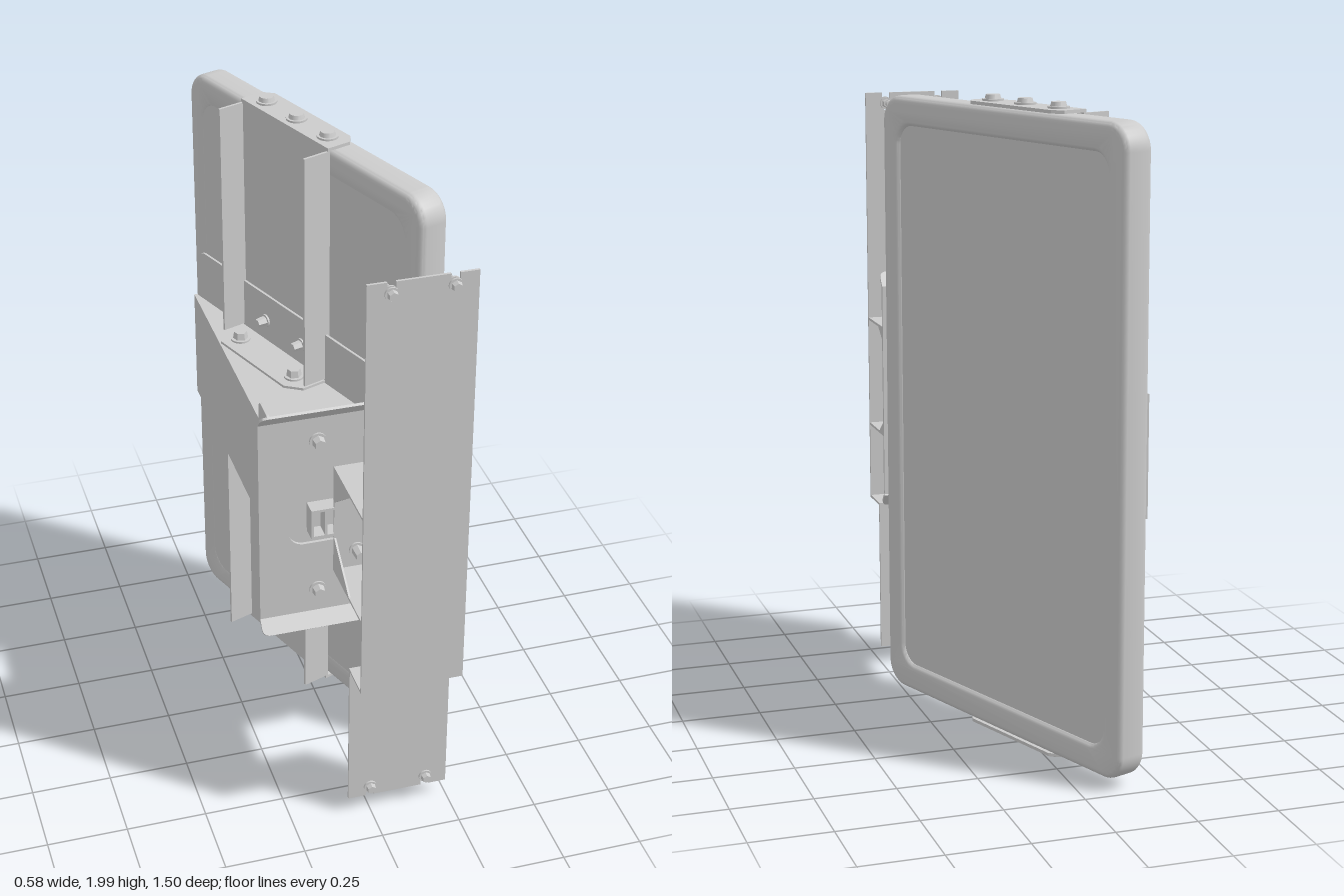
import * as THREE from 'three';
import { toCreasedNormals } from 'three/addons/utils/BufferGeometryUtils.js';

const mat = new THREE.MeshStandardMaterial({ color: 0xcccccc, side: THREE.DoubleSide });

function add(parent, name, geo, x = 0, y = 0, z = 0) {
  const m = new THREE.Mesh(geo, mat);
  m.name = name;
  m.position.set(x, y, z);
  parent.add(m);
  return m;
}

// Box given by its limits on each axis
function slab(parent, name, x0, x1, y0, y1, z0, z1) {
  return add(parent, name, new THREE.BoxGeometry(x1 - x0, y1 - y0, z1 - z0),
    (x0 + x1) / 2, (y0 + y1) / 2, (z0 + z1) / 2);
}

function roundRect(x0, x1, y0, y1, r, Type = THREE.Shape) {
  const s = new Type();
  s.absarc(x1 - r, y1 - r, r, 0, Math.PI / 2);
  s.absarc(x0 + r, y1 - r, r, Math.PI / 2, Math.PI);
  s.absarc(x0 + r, y0 + r, r, Math.PI, Math.PI * 1.5);
  s.absarc(x1 - r, y0 + r, r, Math.PI * 1.5, Math.PI * 2);
  s.closePath();
  return s;
}

const polygon = (pts) => new THREE.Shape(pts.map(([a, b]) => new THREE.Vector2(a, b)));

const extrude = (shape, depth, opts = {}) => toCreasedNormals(
  new THREE.ExtrudeGeometry(shape, { depth, bevelEnabled: false, curveSegments: 8, ...opts }), 0.6);

// Horizontal plate: outline in (x, z), bottom at y
function floorPlate(parent, name, pts, y, t) {
  return add(parent, name, extrude(polygon(pts.map(([x, z]) => [x, -z])), t).rotateX(-Math.PI / 2), 0, y, 0);
}

// Upright plate facing x: outline in (z, y), near side at x
function sidePlate(parent, name, shape, x, t, opts) {
  return add(parent, name, extrude(shape, t, opts).rotateY(-Math.PI / 2), x + t, 0, 0);
}

// Washer, head and shank; dir points from the surface out through the head
function bolt(parent, name, pos, dir, { r = 0.022, h = 0.018, tail = 0.04, sides = 6 } = {}) {
  const g = new THREE.Group();
  g.name = name;
  add(g, 'washer', new THREE.CylinderGeometry(r * 1.3, r * 1.3, 0.006, 20), 0, 0.003, 0);
  add(g, 'head', toCreasedNormals(new THREE.CylinderGeometry(r * 0.85, r, h, sides), 0.6), 0, 0.006 + h / 2, 0);
  add(g, 'shank', new THREE.CylinderGeometry(r * 0.45, r * 0.45, tail, 12), 0, -tail / 2, 0);
  g.position.set(...pos);
  g.quaternion.setFromUnitVectors(new THREE.Vector3(0, 1, 0), new THREE.Vector3(...dir));
  parent.add(g);
}

// Turned panel with its rear channels; local x is its outward side, z runs along it
function buildPanel() {
  const g = new THREE.Group();
  g.name = 'panelAssembly';
  g.position.set(0.05, 0, -0.19);
  g.rotation.y = THREE.MathUtils.degToRad(20);

  const b = 0.022;
  const frame = roundRect(-0.585 + b, 0.585 - b, 0.04 + b, 1.97 - b, 0.06);
  frame.holes.push(roundRect(-0.52, 0.52, 0.11, 1.9, 0.08, THREE.Path));
  sidePlate(g, 'panelFrame', frame, -0.05 + b, 0.1 - 2 * b,
    { bevelEnabled: true, bevelSize: b, bevelThickness: b, bevelSegments: 5 });
  sidePlate(g, 'panelFace', roundRect(-0.54, 0.54, 0.09, 1.92, 0.08), -0.048, 0.086);

  // Upright mounting plate between the arm and the panel
  sidePlate(g, 'armBackPlate', roundRect(-0.54, 0.58, 0.65, 1.36, 0.05), -0.068, 0.008);

  // Upper and lower channels, mirrored about the arm
  const u0 = -0.28, u1 = 0.16;
  for (const s of [1, -1]) {
    const Y = (d) => 1.005 + s * d;
    const span = (a, c) => [Math.min(Y(a), Y(c)), Math.max(Y(a), Y(c))];
    const side = s > 0 ? 'upper' : 'lower';
    const c = new THREE.Group();
    c.name = side + 'Channel';
    g.add(c);
    slab(c, 'channelWeb', -0.06, -0.052, ...span(0.19, 0.975), u0, u1);
    for (const u of [u0, u1 - 0.008])
      slab(c, 'channelFlange', -0.145, -0.055, ...span(0.2, 0.965), u, u + 0.008);
    floorPlate(c, 'armTab', [[-0.055, u0], [-0.15, u0], [-0.19, u0 + 0.05], [-0.19, u1 - 0.05],
      [-0.15, u1], [-0.055, u1]], span(0.187, 0.195)[0], 0.008);
    floorPlate(c, 'panelTab', [[-0.06, u0], [0.02, u0], [0.045, u0 + 0.03], [0.045, u1 - 0.03],
      [0.02, u1], [-0.06, u1]], span(0.966, 0.976)[0], 0.01);
    for (const u of [-0.214, -0.06, 0.094])
      bolt(c, 'panelBolt', [-0.012, Y(0.976), u], [0, s, 0], { r: 0.025, h: 0.013, sides: 16 });
    for (const u of [-0.203, 0.085])
      bolt(c, 'armBolt', [-0.132, Y(0.195), u], [0, s, 0], { r: 0.024, h: 0.022 });
    for (const u of [-0.152, 0.037])
      bolt(c, 'webBolt', [-0.068, Y(0.265), u], [-1, 0, 0], { r: 0.016, h: 0.03, tail: 0.02 });
  }
  return g;
}

// Wedge-shaped arm and the angled plate at its front end
function buildArm() {
  const g = new THREE.Group();
  g.name = 'arm';
  const wedge = [[-0.21, -0.68], [-0.185, -0.68], [0.19, 0.385], [-0.21, 0.39]];
  floorPlate(g, 'armTop', wedge, 1.182, 0.008);
  floorPlate(g, 'armBottom', wedge, 0.82, 0.008);
  slab(g, 'armSide', -0.21, -0.202, 0.82, 1.19, -0.68, 0.39);
  slab(g, 'armEndPlate', -0.25, 0.2, 0.65, 1.36, 0.388, 0.398);
  sidePlate(g, 'armEndFlange', roundRect(0.29, 0.398, 0.65, 1.36, 0.025), -0.254, 0.008);
  for (const x of [-0.11, 0.115]) for (const y of [0.74, 1.27]) {
    bolt(g, 'plateBolt', [x, y, 0.388], [0, 0, -1], { r: 0.025, h: 0.022 });
    bolt(g, 'plateNut', [x, y, 0.412], [0, 0, 1], { r: 0.02, h: 0.025, tail: 0.02 });
  }
  return g;
}

// Flat plate with flared top and bottom lips and a cable opening
function buildWallPlate() {
  const g = new THREE.Group();
  g.name = 'wallPlate';
  const plate = polygon([[-0.29, 0.66], [0.285, 0.66], [0.285, 1.35], [-0.29, 1.35]]);
  plate.holes.push(roundRect(-0.2, 0.0, 0.91, 1.1, 0.05, THREE.Path));
  add(g, 'plate', extrude(plate, 0.01), 0, 0, 0.402);
  for (const s of [1, -1]) {
    const lip = new THREE.Shape();
    lip.moveTo(-0.29, 0);
    lip.lineTo(0.285, 0);
    lip.lineTo(0.285, 0.03);
    lip.quadraticCurveTo(0.285, 0.055, 0.26, 0.055);
    lip.lineTo(-0.265, 0.055);
    lip.quadraticCurveTo(-0.29, 0.055, -0.29, 0.03);
    const m = add(g, 'flaredLip', extrude(lip, 0.008), 0, 1.005 + s * 0.345, 0.403);
    m.rotation.x = s > 0 ? 0.7 : Math.PI - 0.7;
    if (s < 0) m.position.z = 0.411;
  }
  // Small open frame in the cable opening
  for (const x of [-0.14, -0.098]) slab(g, 'cableGuideSide', x, x + 0.008, 0.95, 1.05, 0.4, 0.45);
  for (const y of [0.95, 1.042]) slab(g, 'cableGuideEnd', -0.14, -0.06, y, y + 0.008, 0.4, 0.45);
  return g;
}

// Stepped front strip with slotted ends, joined to the wall plate by a channel bracket
function buildFrontBracket() {
  const g = new THREE.Group();
  g.name = 'frontBracket';
  const x0 = -0.07, x1 = 0.248, slots = [0, 0.18], w = 0.013;
  const strip = (yIn, yEnd) => {
    const d = Math.sign(yIn - yEnd), pts = [[x0, yIn], [x0, yEnd]];
    for (const x of slots)
      pts.push([x - w, yEnd], [x - w, yEnd + d * 0.05], [x, yEnd + d * 0.06], [x + w, yEnd + d * 0.05], [x + w, yEnd]);
    pts.push([x1, yEnd], [x1, yIn]);
    return extrude(polygon(pts), 0.008);
  };
  add(g, 'upperStrip', strip(0.565, 1.94), 0, 0, 0.722);
  add(g, 'lowerStrip', strip(0.573, 0.065), 0, 0, 0.61);
  slab(g, 'stripStep', x0, x1, 0.565, 0.573, 0.61, 0.73);
  for (const x of slots) for (const [y, z] of [[1.905, 0.722], [0.1, 0.61]]) {
    bolt(g, 'stripBolt', [x, y, z + 0.008], [0, 0, 1], { r: 0.016, h: 0.016, tail: 0.045 });
    bolt(g, 'stripNut', [x, y, z], [0, 0, -1], { r: 0.015, h: 0.014, tail: 0.01 });
  }

  // Channel bracket with corner gussets
  slab(g, 'bracketBack', x0, x1, 0.82, 1.19, 0.442, 0.45);
  for (const s of [1, -1]) {
    const yE = 1.005 + s * 0.185;
    slab(g, 'bracketFlange', x0, x1, Math.min(yE, yE - s * 0.008), Math.max(yE, yE - s * 0.008), 0.442, 0.725);
    for (const x of [x0, x1 - 0.006])
      sidePlate(g, 'gusset', polygon([[0.445, yE], [0.61, yE], [0.445, yE - s * 0.125]]), x, 0.006);
    for (const x of slots)
      bolt(g, 'bracketBolt', [x, 1.005 + s * 0.115, 0.45], [0, 0, 1], { r: 0.018, h: 0.04, tail: 0.04 });
  }
  slab(g, 'bracketSpacer', 0.02, 0.16, 0.95, 1.05, 0.41, 0.445);
  return g;
}

export function createModel() {
  const model = new THREE.Group();
  model.name = 'mountedPanel';
  model.add(buildPanel(), buildArm(), buildWallPlate(), buildFrontBracket());
  return model;
}
